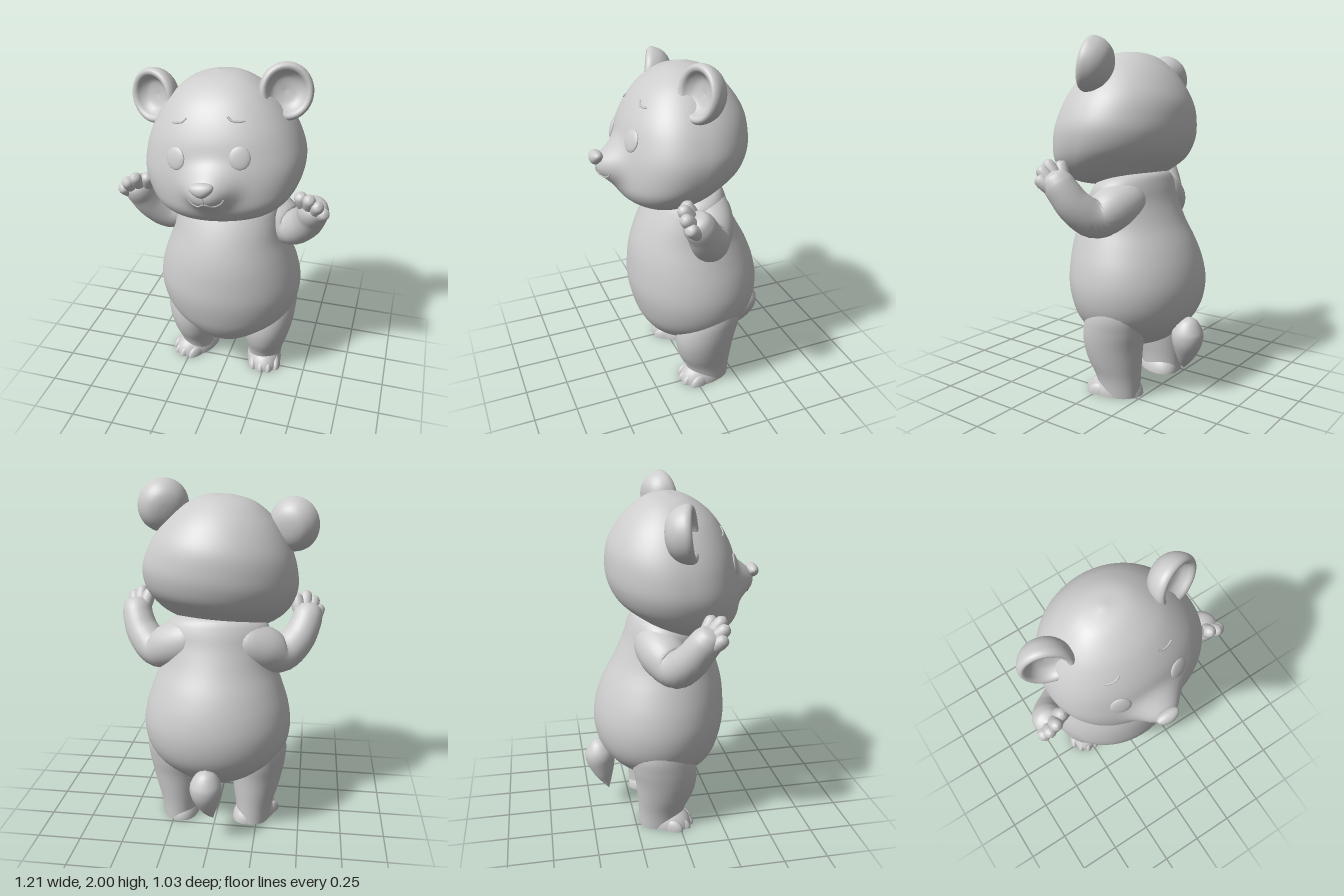
import * as THREE from 'three';
import { mergeVertices, mergeGeometries } from 'three/addons/utils/BufferGeometryUtils.js';

const V = (x, y, z) => new THREE.Vector3(x, y, z);

// Smooth interpolation through rows of numbers, t from 0 to 1
function smooth(rows) {
  const c = new THREE.CubicInterpolant(rows.map((_, i) => i), rows.flat(), rows[0].length, new Float32Array(rows[0].length));
  return t => Array.from(c.evaluate(t * (rows.length - 1)));
}

// Closed-around surface from fn(t along, angle around)
function skin(nu, nv, fn) {
  const pos = [], idx = [];
  for (let i = 0; i <= nu; i++) {
    for (let j = 0; j < nv; j++) pos.push(...fn(i / nu, j / nv * Math.PI * 2));
  }
  for (let i = 0; i < nu; i++) for (let j = 0; j < nv; j++) {
    const a = i * nv + j, b = i * nv + (j + 1) % nv;
    idx.push(a, a + nv, b, b, a + nv, b + nv);
  }
  let g = new THREE.BufferGeometry();
  g.setAttribute('position', new THREE.Float32BufferAttribute(pos, 3));
  g.setIndex(idx);
  g = mergeVertices(g, 1e-5);
  g.computeVertexNormals();
  return g;
}

// Upright form from rows of [y, half width, front z, back z, centre x];
// a front power below 1 makes the front fuller
function upright(rows, nu, nv, power = 1, bump = () => 0) {
  const f = smooth(rows);
  return skin(nu, nv, (t, a) => {
    const [y, w, zf, zb, cx] = f(t);
    const x = Math.max(w, 0) * Math.cos(a), s = Math.sin(a);
    const z = (zf + zb) / 2 + Math.max(zf - zb, 0) / 2 * (s > 0 ? s ** power : s);
    return [cx + x, Math.max(y, 0), z + (s > 0 ? bump(x, y) : 0)];
  });
}

// Round limb along rows of [x, y, z, radius]
function limb(rows, nu = 30, nv = 24) {
  const f = smooth(rows), at = t => V(...f(t).slice(0, 3));
  return skin(nu, nv, (t, a) => {
    const T = at(Math.min(t + 0.01, 1)).sub(at(Math.max(t - 0.01, 0))).normalize();
    const N = V(0, 0, 1).cross(T).normalize(), B = T.clone().cross(N);
    const r = Math.max(f(t)[3], 0);
    return at(t).addScaledVector(N, r * Math.cos(a)).addScaledVector(B, -r * Math.sin(a)).toArray();
  });
}

function mirrored(geo) {
  const g = geo.clone().applyMatrix4(new THREE.Matrix4().makeScale(-1, 1, 1));
  const ix = g.index.array;
  for (let i = 0; i < ix.length; i += 3) [ix[i], ix[i + 1]] = [ix[i + 1], ix[i]];
  return g;
}

const ball = (rx, ry, rz) => new THREE.SphereGeometry(1, 28, 18).scale(rx, ry, rz);

// Half ball standing on the ground with a flat sole
function dome(rx, ry, rz, x, z) {
  return mergeGeometries([
    new THREE.SphereGeometry(1, 28, 10, 0, Math.PI * 2, 0, Math.PI / 2).scale(rx, ry, rz),
    new THREE.CircleGeometry(1, 28).rotateX(Math.PI / 2).scale(rx, 1, rz),
  ]).translate(x, 0, z);
}

// Foot with four toes, turned outward by splay
function foot(splay) {
  const parts = [dome(0.11, 0.12, 0.165, 0, 0.015)];
  for (const u of [-1.5, -0.5, 0.5, 1.5]) {
    parts.push(dome(0.03, 0.06, 0.07, u * 0.049, 0.122 - u * u * 0.014));
  }
  return mergeGeometries(parts).rotateY(splay).translate(0.222, 0, -0.09);
}

const HEAD = [
  [1.16, 0, 0.14, 0.14, 0], [1.175, 0.2, 0.25, 0.0, 0], [1.215, 0.305, 0.33, -0.12, 0],
  [1.28, 0.38, 0.375, -0.22, 0], [1.36, 0.425, 0.385, -0.315, 0], [1.46, 0.445, 0.376, -0.36, 0],
  [1.56, 0.427, 0.353, -0.367, 0], [1.66, 0.385, 0.32, -0.35, 0], [1.76, 0.318, 0.262, -0.295, 0],
  [1.84, 0.24, 0.19, -0.225, 0], [1.905, 0.135, 0.085, -0.135, 0], [1.93, 0, -0.03, -0.03, 0],
];
const BODY = [
  [0.225, 0, 0, 0, 0], [0.245, 0.12, 0.11, -0.15, 0], [0.3, 0.225, 0.185, -0.28, 0],
  [0.4, 0.35, 0.252, -0.385, 0], [0.5, 0.41, 0.287, -0.44, 0], [0.62, 0.43, 0.31, -0.458, 0],
  [0.74, 0.413, 0.309, -0.44, 0], [0.86, 0.373, 0.295, -0.395, 0], [0.98, 0.328, 0.258, -0.33, 0],
  [1.1, 0.308, 0.2, -0.275, 0], [1.2, 0.29, 0.13, -0.24, 0], [1.26, 0.19, 0.03, -0.2, 0],
  [1.28, 0, -0.09, -0.09, 0],
];
const LEG = [
  [0, 0.1, 0.02, -0.228, 0.225], [0.1, 0.112, 0.045, -0.232, 0.228], [0.2, 0.135, 0.09, -0.24, 0.235],
  [0.3, 0.152, 0.11, -0.25, 0.242], [0.4, 0.16, 0.1, -0.268, 0.249], [0.5, 0.155, 0.06, -0.27, 0.256],
  [0.62, 0.1, -0.01, -0.21, 0.275], [0.68, 0, -0.1, -0.1, 0.28],
];

// Muzzle swelling and the resulting face surface
const FACE_POWER = 0.78;
const muzzle = (x, y) => 0.1 * Math.exp(-(((x / 0.125) ** 2 + ((y - 1.425) / 0.1) ** 2) ** 1.35));
const headAt = smooth(HEAD);
function facePoint(x, y) {
  let lo = 0, hi = 1;
  for (let i = 0; i < 30; i++) {
    const m = (lo + hi) / 2;
    if (headAt(m)[0] < y) lo = m; else hi = m;
  }
  const [, w, zf, zb] = headAt(lo);
  const s = Math.sqrt(1 - (x / w) ** 2) ** FACE_POWER;
  return V(x, y, (zf + zb) / 2 + (zf - zb) / 2 * s + muzzle(x, y));
}
const faceLine = (pts, r) => new THREE.TubeGeometry(
  new THREE.CatmullRomCurve3(pts.map(p => facePoint(...p))), 24, r, 6);

export function createModel() {
  const model = new THREE.Group();
  model.name = 'bearCub';
  const grey = new THREE.MeshStandardMaterial({ color: 0xcccccc });
  grey.name = 'plainGrey';
  const add = (parent, name, geo) => {
    const m = new THREE.Mesh(geo, grey);
    m.name = name;
    parent.add(m);
  };
  const pair = (parent, name, geo) => {
    add(parent, name + 'Left', geo);
    add(parent, name + 'Right', mirrored(geo));
  };

  // Trunk and tail
  add(model, 'body', upright(BODY, 48, 56));
  add(model, 'tail', limb([
    [0.02, 0.46, -0.435, 0], [0.02, 0.435, -0.435, 0.05], [0.02, 0.38, -0.43, 0.085],
    [0.02, 0.32, -0.427, 0.088], [0.01, 0.24, -0.413, 0.062], [0, 0.18, -0.398, 0.032], [-0.015, 0.13, -0.385, 0],
  ]));

  // Legs and feet, the right foot turned out further
  pair(model, 'leg', upright(LEG, 36, 36));
  add(model, 'footLeft', foot(0.22));
  add(model, 'footRight', mirrored(foot(0.55)));

  // Raised arms
  pair(model, 'arm', limb([
    [0.08, 1.13, -0.115, 0], [0.12, 1.125, -0.115, 0.115], [0.25, 1.075, -0.085, 0.132], [0.365, 1.032, -0.035, 0.108],
    [0.45, 1.1, 0.02, 0.098], [0.492, 1.18, 0.065, 0.09], [0.507, 1.235, 0.1, 0.084],
    [0.513, 1.275, 0.122, 0.06], [0.516, 1.295, 0.132, 0],
  ], 44, 28));

  // Fingers fanning out of the palm
  [[0.437, 1.318, 0.135], [0.492, 1.322, 0.172], [0.538, 1.293, 0.178], [0.57, 1.25, 0.165]].forEach((tip, i) => {
    const base = V(0.465 + i * 0.022, 1.215 - i * 0.012, 0.085), end = V(...tip);
    const at = (k, r) => [...base.clone().lerp(end, k).toArray(), r];
    pair(model, 'finger' + (i + 1), limb(
      [at(0, 0), at(0.12, 0.03), at(0.5, 0.038), at(0.9, 0.037), at(1.13, 0.028), at(1.25, 0)], 18, 16));
  });

  // Head, tilted to one side
  const head = new THREE.Group();
  head.name = 'head';
  const tilt = 0.125;
  head.rotation.z = tilt;
  head.position.set(-0.01 + 1.5 * Math.sin(tilt), 1.5 - 1.5 * Math.cos(tilt), 0);
  model.add(head);
  add(head, 'skull', upright(HEAD, 72, 96, FACE_POWER, muzzle));

  // Cupped ears with thick rims
  const earProfile = [[0, -0.1], [0.05, -0.095], [0.095, -0.075], [0.128, -0.035], [0.142, 0.01], [0.14, 0.038],
    [0.126, 0.053], [0.107, 0.047], [0.09, 0.02], [0.06, -0.004], [0, -0.015]];
  const earCurve = new THREE.SplineCurve(earProfile.map(p => new THREE.Vector2(...p)));
  const earPoints = earCurve.getPoints(40).map(p => p.setX(Math.max(p.x, 0)));
  pair(head, 'ear', new THREE.LatheGeometry(earPoints, 40)
    .rotateX(Math.PI / 2).scale(1, 1.06, 1).rotateX(-0.15).rotateY(0.33).translate(0.36, 1.808, -0.002));

  // Eyes lying on the face, and brows
  const e = facePoint(0.172, 1.573);
  const normal = facePoint(0.182, 1.573).sub(e).cross(facePoint(0.172, 1.583).sub(e)).normalize();
  const turn = new THREE.Quaternion().setFromUnitVectors(V(0, 0, 1), normal);
  pair(head, 'eye', ball(0.055, 0.06, 0.014).applyQuaternion(turn).translate(e.x, e.y, e.z));
  pair(head, 'brow', faceLine([[0.109, 1.763], [0.13, 1.746], [0.165, 1.737], [0.195, 1.737]], 0.006));

  // Nose, wider at the top, and mouth
  const nose = ball(0.06, 0.04, 0.038);
  const p = nose.attributes.position;
  for (let i = 0; i < p.count; i++) p.setX(i, p.getX(i) * (1 + p.getY(i) * 11));
  nose.computeVertexNormals();
  add(head, 'nose', nose.translate(0, 1.465, 0.477));
  add(head, 'mouth', faceLine([[-0.095, 1.392], [-0.075, 1.37], [-0.04, 1.362], [0, 1.385],
    [0.04, 1.362], [0.075, 1.37], [0.095, 1.392]], 0.005));
  add(head, 'lipLine', faceLine([[0, 1.43], [0, 1.405], [0, 1.383]], 0.005));
  return model;
}
